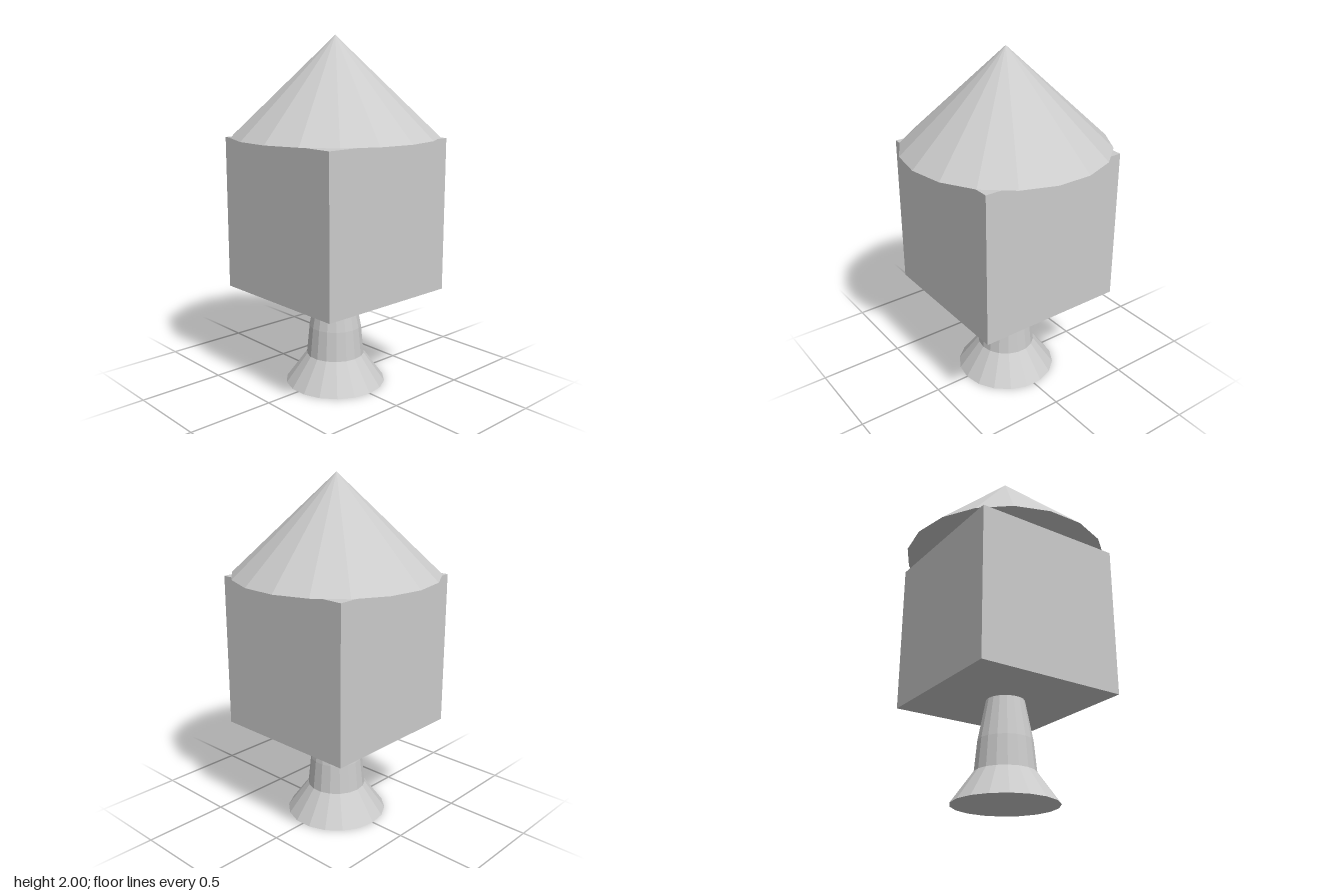
import * as THREE from 'three';

const SIDES = 18;

export function createModel() {
  const model = new THREE.Group();
  const material = new THREE.MeshStandardMaterial({ color: 0xcccccc, flatShading: true });

  const add = (name, geometry, y = 0) => {
    const mesh = new THREE.Mesh(geometry, material);
    mesh.name = name;
    mesh.position.y = y;
    model.add(mesh);
  };

  // Faceted turned part from [radius, height] pairs, listed bottom to top
  const turned = (profile) =>
    new THREE.LatheGeometry(profile.map(([r, y]) => new THREE.Vector2(r, y)), SIDES);

  // Flared foot and tapering post, closed at both ends
  add('pedestal', turned([
    [0, 0], [0.292, 0], [0.169, 0.17], [0.152, 0.34], [0.108, 0.566], [0, 0.566],
  ]));

  // Square body
  add('body', new THREE.BoxGeometry(0.875, 0.874, 0.875), 1.003);

  // Conical roof with a very shallow underside
  add('roof', turned([[0, 1.44], [0.35, 1.44], [0.584, 1.45], [0, 2]]));

  return model;
}
